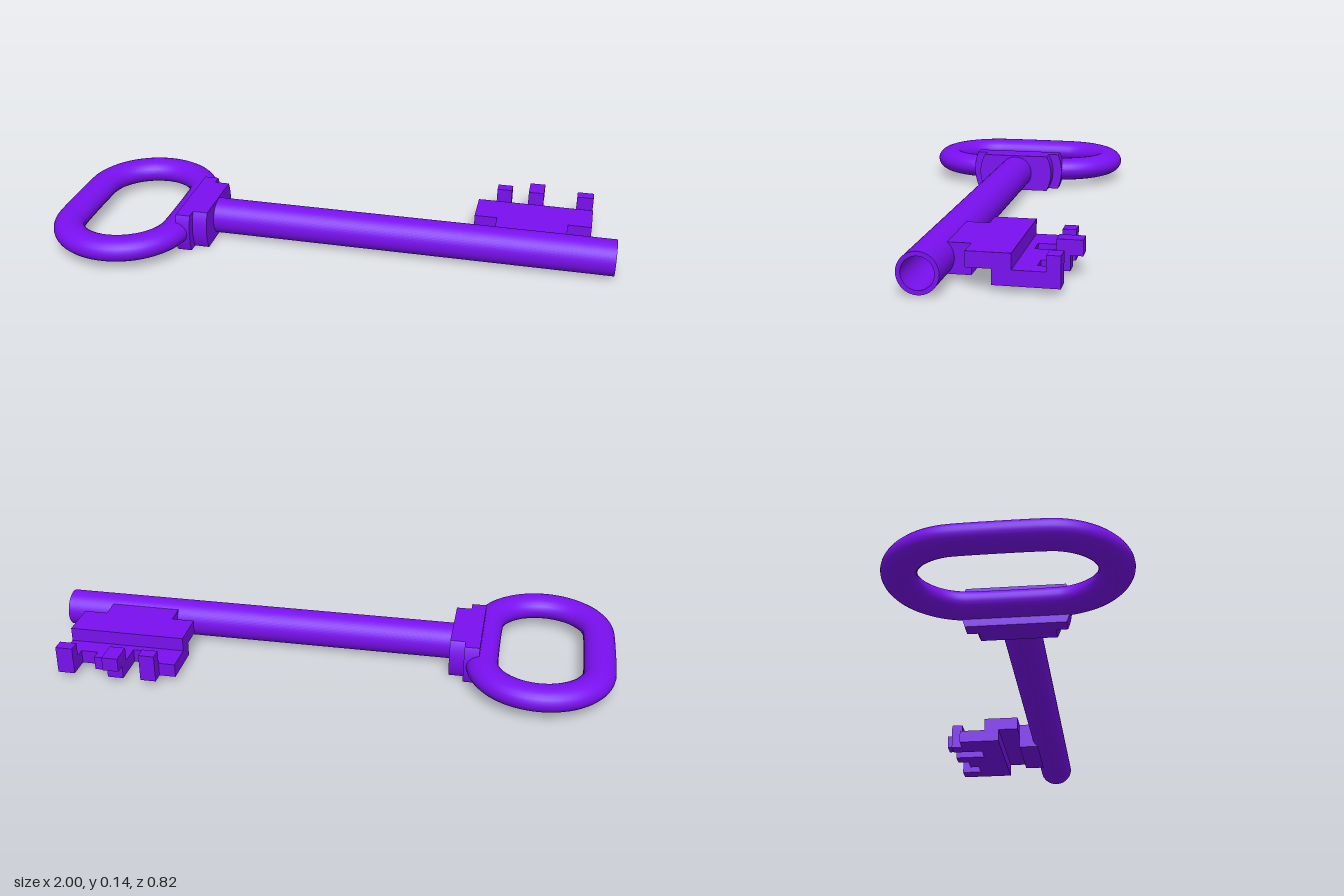
import * as THREE from 'three';

const material = new THREE.MeshStandardMaterial({ color: 0x7a10f0 });
const MID_Y = 0.069; // height of the key's axis
const MID_Z = 0.02; // depth of the key's axis

function add(parent, name, geometry) {
  const mesh = new THREE.Mesh(geometry, material);
  mesh.name = name;
  parent.add(mesh);
  return mesh;
}

// Box given by its extents on each axis
function block(parent, name, [x0, x1], [y0, y1], [z0, z1]) {
  const mesh = add(parent, name, new THREE.BoxGeometry(x1 - x0, y1 - y0, z1 - z0));
  mesh.position.set((x0 + x1) / 2, (y0 + y1) / 2, (z0 + z1) / 2);
}

// Oval loop handle: a stadium path swept with a slightly flattened section
function handle() {
  const points = [];
  const radius = 0.2, straight = 0.132, steps = 16;
  for (const side of [1, -1]) {
    for (let i = 0; i <= steps; i++) {
      const a = (i / steps) * Math.PI;
      points.push(new THREE.Vector3(side * radius * Math.cos(a), 0, side * (straight + radius * Math.sin(a))));
    }
  }
  const path = new THREE.CatmullRomCurve3(points, true);
  return new THREE.TubeGeometry(path, 128, 0.056, 24, true).scale(1, 0.78, 1);
}

// Disc across the shaft with its top and bottom cut flat
function cutDisc(radius, thickness) {
  const a = Math.asin(MID_Y / radius);
  const shape = new THREE.Shape();
  shape.absarc(0, 0, radius, -a, a, false);
  shape.absarc(0, 0, radius, Math.PI - a, Math.PI + a, false);
  shape.closePath();
  return new THREE.ExtrudeGeometry(shape, { depth: thickness, bevelEnabled: false, curveSegments: 16 })
    .rotateY(Math.PI / 2);
}

// Hollow shaft: wall profile turned round the x axis
function shaft() {
  const outer = 0.064, inner = 0.05, x0 = -0.5, x1 = 1;
  const section = new THREE.Shape().absarc(0, 0, outer, 0, Math.PI * 2, false);
  section.holes.push(new THREE.Path().absarc(0, 0, inner, 0, Math.PI * 2, true));
  const geometry = new THREE.ExtrudeGeometry(section, { depth: x1 - x0, bevelEnabled: false, curveSegments: 40 });
  return geometry.rotateY(Math.PI / 2).translate(x0, 0, 0);
}

export function createModel() {
  const key = new THREE.Group();
  key.name = 'key';

  add(key, 'handle', handle()).position.set(-0.744, MID_Y, MID_Z);
  add(key, 'collarWide', cutDisc(0.177, 0.052)).position.set(-0.535, MID_Y, MID_Z);
  add(key, 'collarNarrow', cutDisc(0.143, 0.055)).position.set(-0.485, MID_Y, MID_Z);
  add(key, 'shaft', shaft()).position.set(0, MID_Y, MID_Z);

  // Bit: neck and raised plate, then a lower stepped edge with upturned teeth
  const bit = new THREE.Group();
  bit.name = 'bit';
  key.add(bit);
  const low = [0.02, 0.068], high = [0.068, 0.117], full = [0.02, 0.117];
  block(bit, 'neck', [0.577, 0.827], full, [-0.095, 0]);
  block(bit, 'plate', [0.497, 0.91], high, [-0.23, -0.095]);

  // Each step: x range and how far back it reaches
  const steps = [
    [0.497, 0.555, -0.33],
    [0.555, 0.61, -0.372],
    [0.61, 0.672, -0.255],
    [0.672, 0.728, -0.372],
    [0.728, 0.79, -0.33],
    [0.79, 0.85, -0.295],
    [0.85, 0.91, -0.372],
  ];
  for (const [x0, x1, back] of steps) block(bit, 'bitStep', [x0, x1], low, [back, -0.172]);

  // Upturned tooth tips, the middle one longer
  for (const [x0, x1, back] of [[0.555, 0.61, -0.372], [0.672, 0.728, -0.41], [0.85, 0.91, -0.372]]) {
    block(bit, 'toothTip', [x0, x1], high, [back, -0.33]);
  }
  return key;
}
